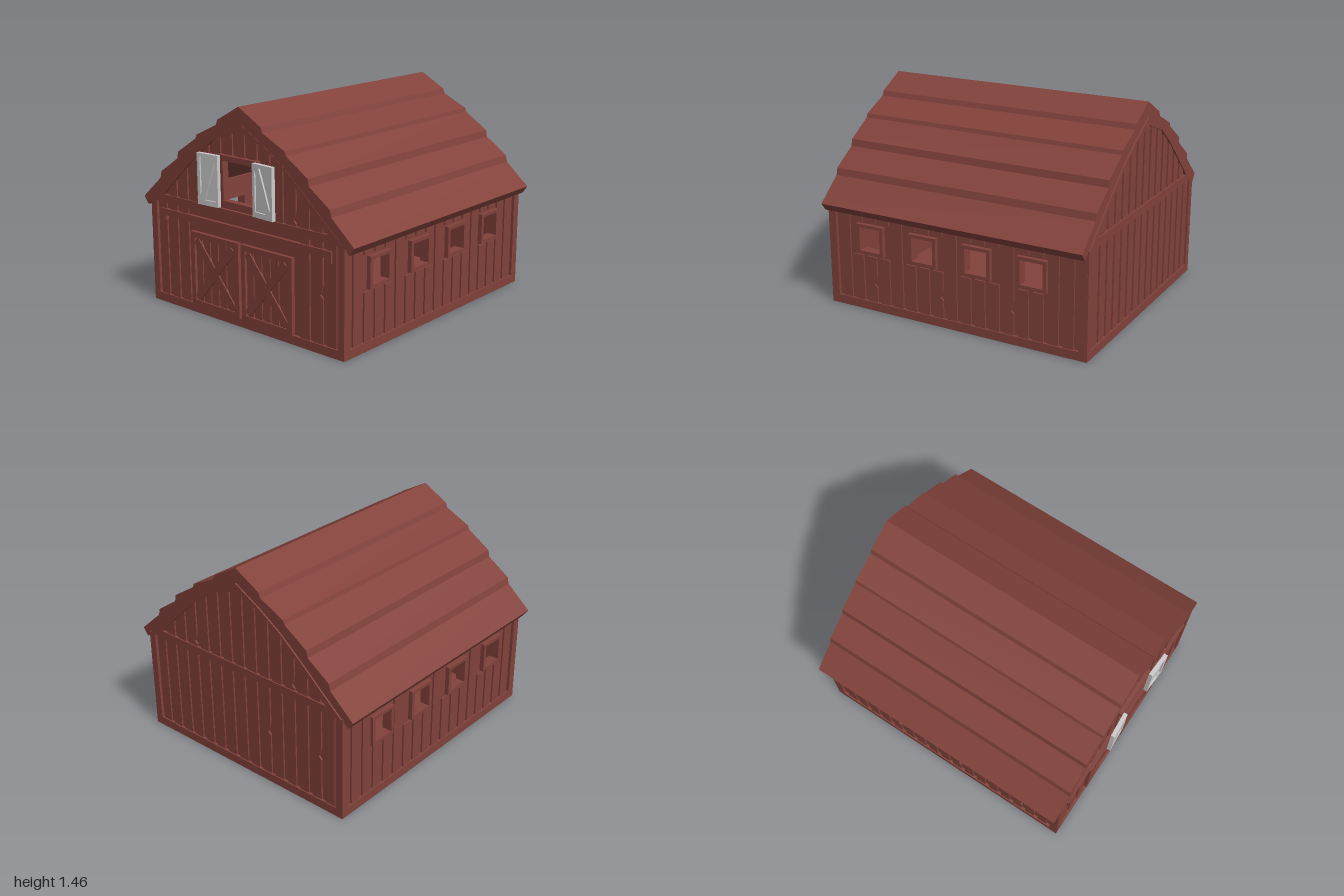
import * as THREE from 'three';

const red = new THREE.MeshStandardMaterial({ color: 0x82423b, flatShading: true, side: THREE.DoubleSide });
const grey = new THREE.MeshStandardMaterial({ color: 0xcccccc, flatShading: true, side: THREE.DoubleSide });

const rect = (a, b, y0, y1) => [[a, y0], [b, y0], [b, y1], [a, y1]];
const vecs = pts => pts.map(p => new THREE.Vector2(p[0], p[1]));
// mirrors a right-hand half profile that starts on the centre line
const sym = half => [...half.slice(1).reverse().map(([x, y]) => [-x, y]), ...half];

// flat outline with holes, extruded from z0 to z1
function slab(parent, name, pts, z0, z1, holes = [], mat = red) {
  const shape = new THREE.Shape(vecs(pts));
  holes.forEach(h => shape.holes.push(new THREE.Path(vecs(h))));
  const geo = new THREE.ExtrudeGeometry(shape, { depth: z1 - z0, bevelEnabled: false });
  const mesh = new THREE.Mesh(geo, mat);
  mesh.position.z = z0;
  mesh.name = name;
  parent.add(mesh);
  return mesh;
}

// straight bar of width w between two points
function strip(x0, y0, x1, y1, w) {
  const l = Math.hypot(x1 - x0, y1 - y0), nx = -(y1 - y0) / l * w / 2, ny = (x1 - x0) / l * w / 2;
  return [[x0 + nx, y0 + ny], [x1 + nx, y1 + ny], [x1 - nx, y1 - ny], [x0 - nx, y0 - ny]];
}

// plank outline with sloped top and an optional chipped edge
function plank(a, b, y0, ya, yb, chip) {
  const pts = [[a, y0], [b, y0], [b, yb], [a, ya]];
  if (chip) pts.splice(2, 0, [b, chip - 0.04], [b - 0.02, chip - 0.02], [b - 0.008, chip + 0.01], [b, chip + 0.04]);
  return pts;
}

// half profiles
const roofOuter = [[0, 1.46], [0.19, 1.355], [0.205, 1.32], [0.39, 1.232], [0.4, 1.205], [0.575, 1.092],
  [0.585, 1.045], [0.75, 0.932], [0.762, 0.885], [0.938, 0.73], [0.9, 0.678]];
const roofInner = [[0, 1.36], [0.2, 1.25], [0.38, 1.13], [0.56, 0.98], [0.72, 0.84], [0.86, 0.72]];
const gableInner = [[0, 1.305], [0.23, 1.22], [0.405, 1.085], [0.735, 0.775]];

function gableHeight(x) {
  x = Math.abs(x);
  for (let i = 1; i < gableInner.length; i++) {
    const [x0, y0] = gableInner[i - 1], [x1, y1] = gableInner[i];
    if (x <= x1) return y0 + (y1 - y0) * (x - x0) / (x1 - x0);
  }
  return 0.775;
}

// end wall with frame, gable trim and planks; z = 0 is the board face
function endWall(name, front) {
  const g = new THREE.Group();
  g.name = name;
  const loft = rect(-0.152, 0.152, 0.83, 1.1);
  slab(g, 'endBoard', [[-0.845, 0], [0.845, 0], [0.845, 0.72], ...sym(roofInner).reverse().slice(1, -1), [-0.845, 0.72]],
    -0.03, 0, front ? [loft] : []);
  slab(g, 'endFrame', rect(-0.864, 0.864, 0, 0.73), 0, 0.02, [rect(-0.81, 0.81, 0.06, 0.72)]);
  slab(g, 'gableTrim', sym(roofInner), 0, 0.02, [sym(gableInner)]);
  const step = 0.108, w = 0.076;
  for (let i = -7; i <= 7; i++) {
    const a = i * step - w / 2, b = a + w;
    // lower planks stop at the doors on the front
    if (!front || Math.abs(i) > 4) slab(g, 'wallPlank', plank(a, b, 0.05, 0.73, 0.73, i % 4 === 2 ? 0.4 : 0), 0, 0.011);
    // gable planks, kept clear of the loft opening
    if (Math.abs(i) > 6) continue;
    const ya = gableHeight(a) + 0.01, yb = gableHeight(b) + 0.01;
    const base = front && Math.abs(i) < 2 ? 1.12 : 0.76;
    slab(g, 'gablePlank', plank(a, b, base, ya, yb, Math.abs(i) === 4 ? 0.83 : 0), 0, 0.011);
  }
  return g;
}

// barn door with frame, planks and crossed braces
function door(parent, x0, x1) {
  const a = x0 + 0.035, b = x1 - 0.04, y0 = 0.092, y1 = 0.53;
  slab(parent, 'doorBoard', rect(x0, x1, 0.055, 0.57), 0, 0.008);
  slab(parent, 'doorFrame', rect(x0, x1, 0.055, 0.57), 0.008, 0.027, [rect(a, b, y0, y1)]);
  for (let i = 0; i < 5; i++) {
    const c = a + (b - a) * (i + 0.5) / 5;
    slab(parent, 'doorPlank', rect(c - 0.028, c + 0.028, y0, y1), 0.008, 0.016);
  }
  slab(parent, 'doorBrace', strip(a + 0.015, y0 + 0.015, b - 0.015, y1 - 0.015, 0.055), 0.01, 0.025);
  slab(parent, 'doorBrace', strip(a + 0.015, y1 - 0.015, b - 0.015, y0 + 0.015, 0.055), 0.01, 0.0245);
}

// long wall, s = 1 for the left (+x) side and -1 for the other
function sideWall(s) {
  const g = new THREE.Group();
  g.name = s > 0 ? 'leftWall' : 'rightWall';
  const R = (z0, z1, y0, y1) => rect(-s * z0, -s * z1, y0, y1);
  const windows = [0.605, 0.19, -0.215, -0.615];
  const holes = windows.map(c => R(c - 0.08, c + 0.08, 0.425, 0.59));
  slab(g, 'sideBoard', R(-0.98, 0.925, 0, 0.74), -0.03, 0, holes);
  slab(g, 'sideFrame', R(-0.99, 0.944, 0, 0.74), 0, 0.02, [R(-0.94, 0.885, 0.06, 0.725)]);
  windows.forEach((c, i) => slab(g, 'windowFrame', R(c - 0.105, c + 0.105, 0.4, 0.612), -0.04, 0.03, [holes[i]]));
  for (let i = 0; i < 17; i++) {
    const c = 0.815 - i * 0.105, a = c - 0.037, b = c + 0.037;
    const hit = windows.find(w => b > w - 0.1 && a < w + 0.1);
    const chip = i % 5 === 2 ? 0.2 + 0.02 * i / 5 : 0;
    if (hit === undefined) {
      slab(g, 'sidePlank', plank(-s * c - 0.037, -s * c + 0.037, 0.05, 0.73, 0.73, chip), 0, 0.012);
    } else {
      slab(g, 'sidePlank', plank(-s * c - 0.037, -s * c + 0.037, 0.05, 0.385, 0.385, chip), 0, 0.012);
      slab(g, 'sidePlank', R(a, b, 0.627, 0.73), 0, 0.012);
    }
  }
  g.position.x = s * 0.845;
  g.rotation.y = s * Math.PI / 2;
  return g;
}

// open loft shutter with a diagonal brace
function shutter(s) {
  const g = new THREE.Group();
  g.name = s > 0 ? 'leftShutter' : 'rightShutter';
  const S = pts => pts.map(([x, y]) => [s * x, y]);
  slab(g, 'shutterBoard', S(rect(0, 0.178, 0.79, 1.133)), 0, 0.016, [], grey);
  slab(g, 'shutterBrace', S(rect(0, 0.178, 0.79, 1.133)), 0.016, 0.027, [
    S([[0.06, 1.11], [0.154, 1.11], [0.154, 0.85]]),
    S([[0.022, 1.09], [0.022, 0.825], [0.118, 0.825]])], grey);
  g.position.set(s * 0.156, 0, 0.962);
  g.rotation.y = -s * 0.06;
  return g;
}

export function createModel() {
  const barn = new THREE.Group();
  barn.name = 'barn';

  // stepped roof shell
  slab(barn, 'roof', [...sym(roofOuter), ...sym(roofInner).reverse()], -0.99, 0.943);

  // floor
  const floor = new THREE.Mesh(new THREE.BoxGeometry(1.72, 0.02, 1.92), red);
  floor.name = 'floor';
  floor.position.set(0, 0.01, -0.0225);
  barn.add(floor);

  // gabled mass inside the loft
  slab(barn, 'loftCore', [[-0.51, 0.42], [0.51, 0.42], [0, 1.1]], -0.9, 0.4);

  // long walls
  barn.add(sideWall(1), sideWall(-1));

  // back wall
  const back = endWall('backWall', false);
  back.rotation.y = Math.PI;
  back.position.z = -0.98;
  barn.add(back);

  // front wall with doors, sliding rail and loft opening
  const front = endWall('frontWall', true);
  front.position.z = 0.925;
  door(front, -0.47, -0.022);
  door(front, 0.002, 0.445);
  slab(front, 'doorRail', [[-0.765, 0.6], [-0.715, 0.6], [-0.715, 0.632], [0.715, 0.632], [0.715, 0.6],
    [0.765, 0.6], [0.765, 0.677], [-0.765, 0.677]], 0, 0.024);
  slab(front, 'loftFrame', rect(-0.18, 0.18, 0.79, 1.13), -0.03, 0.018, [rect(-0.152, 0.152, 0.83, 1.1)]);
  slab(front, 'loftHeader', rect(-0.18, 0.18, 1.1, 1.137), 0, 0.036);
  barn.add(front, shutter(1), shutter(-1));

  return barn;
}
